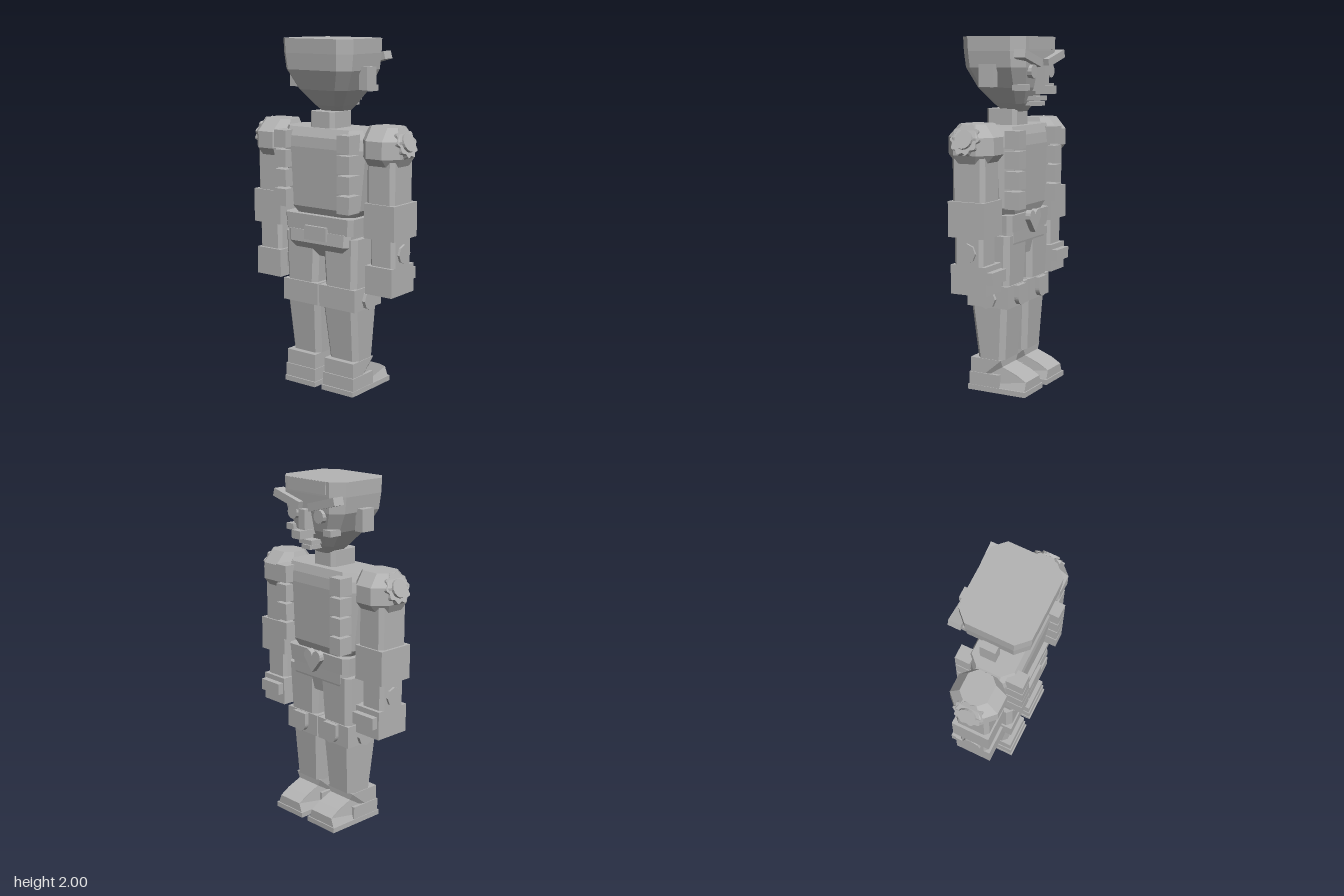
import * as THREE from 'three';

const grey = new THREE.MeshStandardMaterial({ color: 0xb4b4b4, flatShading: true });
grey.name = 'plain grey';

export function createModel() {
  const model = new THREE.Group();
  model.name = 'blockFigure';

  function add(name, geometry) {
    const mesh = new THREE.Mesh(geometry, grey);
    mesh.name = name;
    model.add(mesh);
    return mesh;
  }

  // Box given by its limits
  function box(name, x0, x1, y0, y1, z0, z1) {
    const m = add(name, new THREE.BoxGeometry(Math.abs(x1 - x0), y1 - y0, z1 - z0));
    m.position.set((x0 + x1) / 2, (y0 + y1) / 2, (z0 + z1) / 2);
    return m;
  }

  // Body with chamfered corners, rings from bottom to top: [y, x0, x1, z0, z1, chamfer]
  function loft(name, rings, s = 1) {
    const loops = rings.map(([y, a, b, z0, z1, c]) => {
      const x0 = Math.min(a * s, b * s), x1 = Math.max(a * s, b * s);
      return [[x1, z0 + c], [x1, z1 - c], [x1 - c, z1], [x0 + c, z1],
        [x0, z1 - c], [x0, z0 + c], [x0 + c, z0], [x1 - c, z0]].map(([x, z]) => [x, y, z]);
    });
    const pos = [];
    const top = loops.length - 1;
    for (let r = 0; r < top; r++) {
      for (let i = 0; i < 8; i++) {
        const j = (i + 1) % 8;
        const a = loops[r][i], b = loops[r][j], c = loops[r + 1][j], d = loops[r + 1][i];
        pos.push(...a, ...c, ...b, ...a, ...d, ...c);
      }
    }
    for (let i = 1; i < 7; i++) {
      pos.push(...loops[0][0], ...loops[0][i], ...loops[0][i + 1]);
      pos.push(...loops[top][0], ...loops[top][i + 1], ...loops[top][i]);
    }
    const g = new THREE.BufferGeometry();
    g.setAttribute('position', new THREE.Float32BufferAttribute(pos, 3));
    g.computeVertexNormals();
    return add(name, g);
  }

  const plate = (shape, depth) =>
    new THREE.ExtrudeGeometry(shape, { depth, bevelEnabled: false, curveSegments: 8 }).translate(0, 0, -depth / 2);

  // Disc outline with optional scalloped rim
  function disc(n, r, wave = 0, lobes = 0) {
    const pts = [];
    for (let i = 0; i < n; i++) {
      const a = (i / n) * Math.PI * 2, q = r + wave * Math.cos(a * lobes);
      pts.push(new THREE.Vector2(q * Math.cos(a), q * Math.sin(a)));
    }
    return new THREE.Shape(pts);
  }

  // Plate facing sideways, optionally tilted upwards
  function sideDisc(name, shape, depth, s, x, y, z, tilt = 0) {
    const m = add(name, plate(shape, depth));
    m.position.set(s * x, y, z);
    m.rotation.set(0, s * Math.PI / 2, s * tilt, 'ZYX');
  }

  // Head and neck
  loft('head', [
    [1.585, -0.06, 0.06, -0.05, 0.06, 0.02],
    [1.63, -0.1, 0.1, -0.085, 0.11, 0.035],
    [1.72, -0.17, 0.17, -0.125, 0.18, 0.05],
    [1.83, -0.228, 0.228, -0.15, 0.228, 0.06],
    [1.92, -0.24, 0.24, -0.155, 0.237, 0.065],
    [2, -0.242, 0.242, -0.157, 0.24, 0.065]]);
  loft('neck', [[1.48, -0.085, 0.085, -0.04, 0.15, 0.022], [1.6, -0.085, 0.085, -0.04, 0.15, 0.022]]);
  box('hairline', -0.15, 0.15, 1.93, 1.999, -0.161, -0.12);

  // Face, on the -z side
  box('noseBridge', -0.025, 0.025, 1.7, 1.84, -0.195, -0.11);
  box('noseTip', -0.033, 0.033, 1.685, 1.73, -0.238, -0.14);
  box('upperLip', -0.05, 0.05, 1.647, 1.672, -0.17, -0.08);
  box('lowerLip', -0.035, 0.035, 1.618, 1.642, -0.165, -0.07);

  // Torso, belt and pelvis
  loft('torso', [
    [1.015, -0.205, 0.205, -0.075, 0.15, 0.05],
    [1.06, -0.245, 0.245, -0.09, 0.17, 0.06],
    [1.4, -0.29, 0.29, -0.105, 0.192, 0.07],
    [1.46, -0.285, 0.285, -0.1, 0.188, 0.07],
    [1.51, -0.262, 0.262, -0.085, 0.165, 0.055]]);
  loft('belt', [[0.925, -0.235, 0.235, -0.09, 0.185, 0.025], [1.02, -0.242, 0.242, -0.095, 0.19, 0.025]]);
  loft('pelvis', [
    [0.78, -0.17, 0.17, -0.07, 0.14, 0.03],
    [0.86, -0.218, 0.218, -0.085, 0.195, 0.03],
    [0.93, -0.222, 0.222, -0.088, 0.19, 0.03]]);
  box('beltPlate', -0.077, 0.077, 0.88, 0.96, 0.17, 0.206);

  const heart = new THREE.Shape();
  heart.moveTo(0, -0.065);
  heart.lineTo(0.065, 0.015);
  heart.bezierCurveTo(0.075, 0.075, 0.015, 0.08, 0, 0.035);
  heart.bezierCurveTo(-0.015, 0.08, -0.075, 0.075, -0.065, 0.015);
  heart.closePath();
  add('heartBuckle', plate(heart, 0.035)).position.set(0, 0.965, -0.108);

  // Knee shield: flat top and rounded bottom
  const shield = new THREE.Shape();
  shield.moveTo(-0.05, 0.058);
  shield.lineTo(-0.05, -0.008);
  shield.absarc(0, -0.008, 0.05, Math.PI, Math.PI * 2, false);
  shield.lineTo(0.05, 0.058);
  shield.closePath();

  // Boot side outline, x of the shape running to the toe
  const bootOutline = new THREE.Shape([
    [-0.165, 0.025], [0.18, 0.025], [0.18, 0.08], [0.12, 0.115], [0.03, 0.15], [0.03, 0.19], [-0.165, 0.19],
  ].map(([x, y]) => new THREE.Vector2(x, y)));

  for (const s of [1, -1]) {
    const b = (name, x0, x1, ...rest) => box(name, s * x0, s * x1, ...rest);

    // Ear, brow, eye and cheek
    b('ear', 0.215, 0.27, 1.725, 1.85, 0, 0.087);
    const brow = add('brow', new THREE.BoxGeometry(0.21, 0.045, 0.07));
    brow.position.set(s * 0.14, 1.88, -0.15);
    brow.rotation.z = s * 0.26;
    add('eye', plate(disc(12, 0.038), 0.06)).position.set(s * 0.105, 1.81, -0.14);
    b('cheek', 0.12, 0.178, 1.705, 1.74, -0.15, -0.07);

    // Clasps, four on each face of the chest
    for (let i = 0; i < 4; i++) {
      const y = 1.06 + i * 0.111;
      b('clasp', 0.18, 0.263, y, y + 0.098, 0.14, 0.24);
      b('clasp', 0.18, 0.263, y, y + 0.098, -0.157, -0.07);
    }

    // Arm
    loft('shoulder', [
      [1.31, 0.285, 0.475, -0.045, 0.125, 0.04],
      [1.37, 0.258, 0.505, -0.1, 0.18, 0.07],
      [1.465, 0.258, 0.505, -0.1, 0.18, 0.07],
      [1.535, 0.28, 0.465, -0.045, 0.115, 0.04]], s);
    sideDisc('scallopedRosette', disc(60, 0.083, 0.007, 10), 0.03, s, 0.488, 1.452, 0.04, 0.39);
    sideDisc('rosetteBoss', disc(16, 0.052), 0.03, s, 0.505, 1.452, 0.04, 0.39);
    loft('upperArm', [[1.1, 0.3, 0.482, -0.062, 0.14, 0.022], [1.36, 0.3, 0.482, -0.062, 0.14, 0.022]], s);
    b('elbowCuff', 0.298, 0.498, 0.925, 1.12, -0.073, 0.15);
    loft('forearm', [[0.76, 0.32, 0.482, -0.05, 0.128, 0.02], [0.93, 0.32, 0.482, -0.05, 0.128, 0.02]], s);
    sideDisc('forearmStud', disc(8, 0.054), 0.04, s, 0.475, 0.842, 0.037);
    b('hand', 0.305, 0.482, 0.61, 0.772, -0.072, 0.145);
    b('fingerPlate', 0.315, 0.47, 0.675, 0.742, -0.108, -0.06);
    loft('thumb', [[0.665, 0.255, 0.32, 0, 0.085, 0.015], [0.75, 0.255, 0.32, 0, 0.085, 0.015]], s);

    // Leg
    loft('thigh', [[0.6, 0.03, 0.245, -0.075, 0.165, 0.028], [0.905, 0.012, 0.255, -0.085, 0.17, 0.028]], s);
    b('kneeCuff', 0.006, 0.255, 0.495, 0.622, -0.083, 0.175);
    add('kneeShield', plate(shield, 0.05)).position.set(s * 0.128, 0.562, -0.085);
    sideDisc('kneeStud', disc(8, 0.058), 0.05, s, 0.25, 0.547, 0.045);
    loft('shin', [[0.19, 0.032, 0.235, -0.042, 0.13, 0.028], [0.5, 0.012, 0.248, -0.062, 0.165, 0.028]], s);

    // Boot, its top pinched towards the toe
    const g = plate(bootOutline, 0.205);
    const p = g.attributes.position;
    for (let i = 0; i < p.count; i++) {
      if (p.getX(i) > 0.025 && p.getY(i) > 0.05 && p.getY(i) < 0.18) p.setZ(i, p.getZ(i) * 0.8);
    }
    g.computeVertexNormals();
    const boot = add('boot', g);
    boot.rotation.y = Math.PI / 2;
    boot.position.x = s * 0.137;
    b('heelBand', 0.03, 0.245, 0.03, 0.105, -0.02, 0.172);
    b('sole', 0.025, 0.248, 0, 0.03, -0.187, 0.18);
  }
  return model;
}
